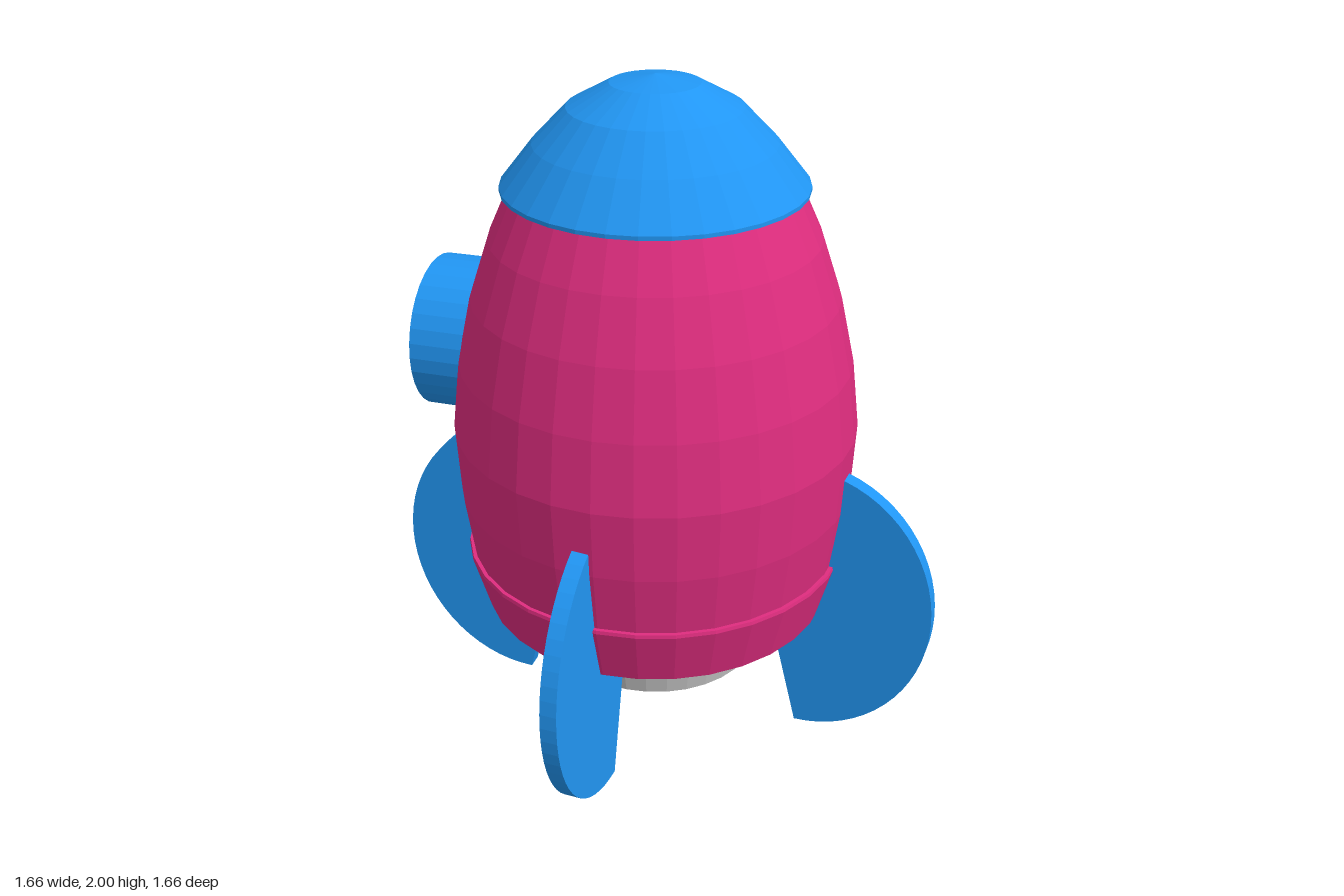
import * as THREE from 'three';

const mat = (color) => new THREE.MeshStandardMaterial({ color, flatShading: true });

export function createModel() {
  const model = new THREE.Group();
  const pink = mat(0xdf2d7f), blue = mat(0x2196f3), grey = mat(0xcccccc), dark = mat(0x3d3a35);

  // the hull axis sits slightly off the origin
  const rocket = new THREE.Group();
  rocket.name = 'rocket';
  rocket.position.set(-0.02, 0, 0.02);
  model.add(rocket);

  const add = (name, geometry, material, parent = rocket) => {
    const mesh = new THREE.Mesh(geometry, material);
    mesh.name = name;
    parent.add(mesh);
    return mesh;
  };
  const lathe = (name, points, material, parent) =>
    add(name, new THREE.LatheGeometry(points.map(([r, y]) => new THREE.Vector2(r, y)), 32), material, parent);

  // hull and nose
  lathe('hull', [[0.5, 0.5], [0.545, 0.62], [0.57, 0.8], [0.58, 1.0], [0.557, 1.2],
    [0.515, 1.39], [0.458, 1.56], [0.395, 1.7]], pink);
  lathe('noseCone', [[0.36, 1.695], [0.42, 1.695], [0.42, 1.706], [0.33, 1.82],
    [0.237, 1.915], [0.122, 1.978], [0, 2.0]], blue);

  // flared skirt around the hull base, closed by a recessed plate
  lathe('skirt', [[0.485, 0.47], [0.485, 0.44], [0.51, 0.44], [0.558, 0.61], [0.556, 0.62], [0.53, 0.62]], pink);
  lathe('basePlate', [[0, 0.455], [0.495, 0.455]], grey);

  // hollow two-step engine nozzle
  lathe('nozzle', [[0, 0.43], [0.285, 0.43], [0.265, 0.34], [0.3, 0.34], [0.28, 0.24],
    [0.305, 0.24], [0.33, 0.34], [0.295, 0.34], [0.32, 0.46]], grey);

  // porthole on the right side: tube frame with recessed glass
  const porthole = new THREE.Group();
  porthole.name = 'porthole';
  porthole.position.set(-0.45, 1.193, 0);
  porthole.rotation.z = Math.PI / 2;
  rocket.add(porthole);
  lathe('portholeFrame', [[0.222, 0], [0.222, 0.21], [0.175, 0.21], [0.175, 0.16]], blue, porthole);
  const glass = add('portholeGlass', new THREE.CircleGeometry(0.18, 32), dark, porthole);
  glass.rotation.x = -Math.PI / 2;
  glass.position.y = 0.175;

  // rounded fins, each set at a slightly different angle, reach and height
  const outline = new THREE.Shape();
  outline.moveTo(0.3, 0.6);
  outline.lineTo(0.34, 0.44);
  outline.lineTo(0.44, 0.03);
  outline.absellipse(0.44, 0.47, 0.39, 0.44, -Math.PI / 2, Math.PI / 2, false);
  outline.lineTo(0.35, 0.85);
  const depth = 0.048;
  const finGeometry = new THREE.ExtrudeGeometry(outline, { depth, bevelEnabled: false, curveSegments: 16 });
  finGeometry.translate(0, 0, -depth / 2);
  const fins = [
    ['leftFin', -4, 0.02, 0.018],
    ['frontFin', -93.5, -0.02, -0.005],
    ['rightFin', 178.5, -0.02, 0],
    ['backFin', 89.5, 0.02, -0.028],
  ];
  for (const [name, degrees, reach, lift] of fins) {
    const a = THREE.MathUtils.degToRad(degrees);
    const fin = add(name, finGeometry, blue);
    fin.rotation.y = a;
    fin.position.set(Math.cos(a) * reach, lift, -Math.sin(a) * reach);
  }

  return model;
}
